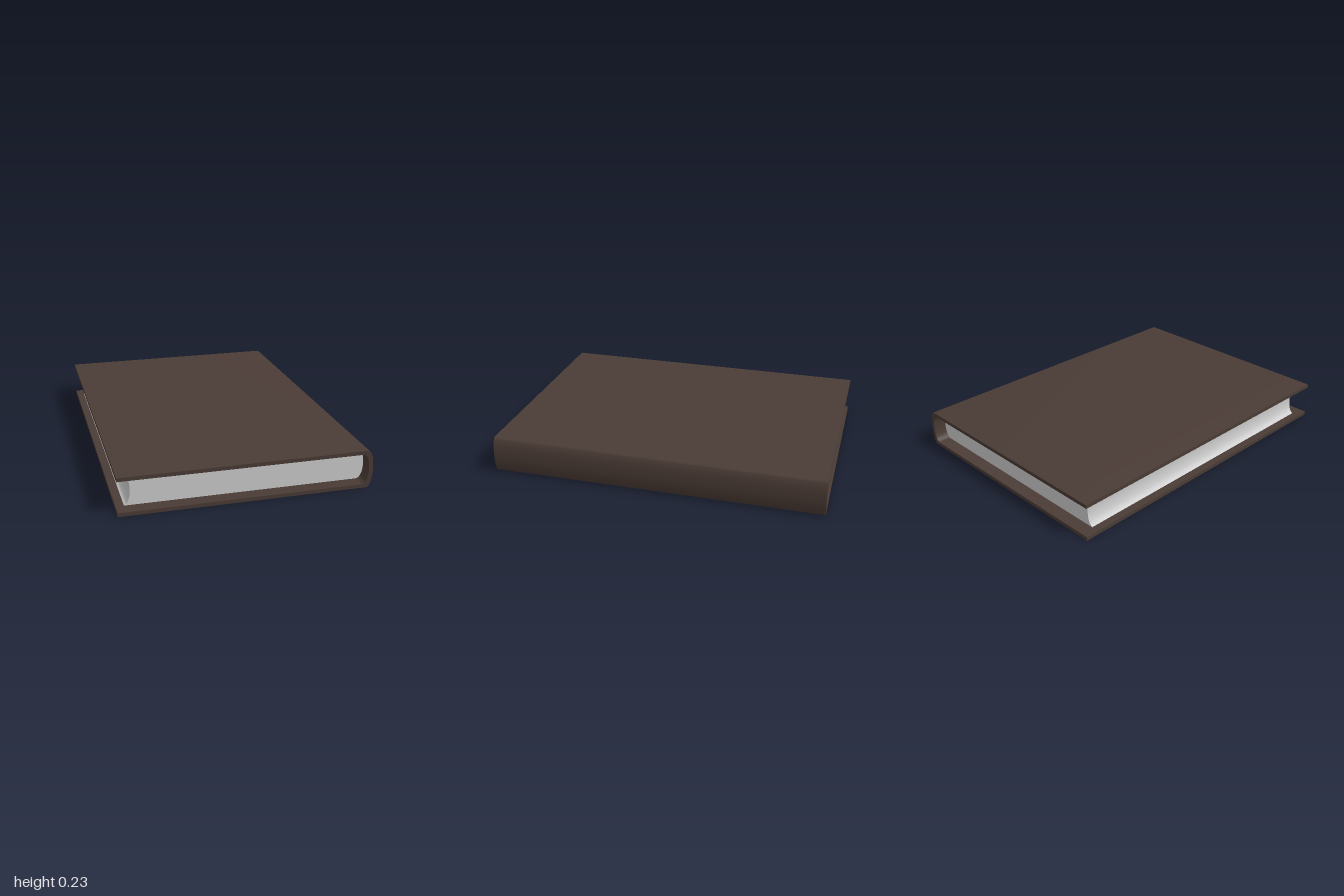
import * as THREE from 'three';
import { toCreasedNormals } from 'three/addons/utils/BufferGeometryUtils.js';

const HEIGHT = 0.226, MID = HEIGHT / 2, BOARD = 0.022;
const EDGE = -0.727, LENGTH = 2, PAGE_INSET = 0.08;

// Extrude an x-y outline along z, centred, with smooth curves and sharp corners
function extrudeAlongZ(shape, depth) {
  const geometry = new THREE.ExtrudeGeometry(shape, { depth, bevelEnabled: false, curveSegments: 12 });
  geometry.translate(0, 0, -depth / 2);
  return toCreasedNormals(geometry, 0.5);
}

// Add a curve symmetric about mid height: ends at x = end, bulges to x = middle
function addBulge(shape, from, end, c1, c2, middle) {
  const s = Math.sign(MID - from);
  const h = Math.abs(MID - from);
  const y = (t) => MID - s * h * t;
  shape.bezierCurveTo(c1[0], y(c1[1]), c2[0], y(c2[1]), middle, MID);
  shape.bezierCurveTo(c2[0], y(-c2[1]), c1[0], y(-c1[1]), end, y(-1));
}

// Rounded inner spine line, shared by the cover and the pages
function addInnerSpine(shape, from) {
  addBulge(shape, from, 0.66, [0.69, 1], [0.703, 0.55], 0.703);
}

export function createModel() {
  const book = new THREE.Group();
  book.name = 'book';
  const low = BOARD, high = HEIGHT - BOARD;

  // Cover: two boards joined by a rounded spine
  const coverShape = new THREE.Shape();
  coverShape.moveTo(EDGE, 0);
  coverShape.lineTo(0.69, 0);
  addBulge(coverShape, 0, 0.69, [0.715, 1], [0.727, 0.5], 0.727);
  coverShape.lineTo(EDGE, HEIGHT);
  coverShape.lineTo(EDGE, high);
  coverShape.lineTo(0.66, high);
  addInnerSpine(coverShape, high);
  coverShape.lineTo(EDGE, low);
  coverShape.closePath();
  const cover = new THREE.Mesh(
    extrudeAlongZ(coverShape, LENGTH),
    new THREE.MeshStandardMaterial({ color: 0x4a3b35 })
  );
  cover.name = 'cover';

  // Page block: rounded at the spine, hollowed at the fore edge
  const pageShape = new THREE.Shape();
  pageShape.moveTo(-0.68, low);
  pageShape.lineTo(0.66, low);
  addInnerSpine(pageShape, low);
  pageShape.lineTo(-0.68, high);
  addBulge(pageShape, high, -0.68, [-0.658, 0.9], [-0.646, 0.5], -0.646);
  const pages = new THREE.Mesh(
    extrudeAlongZ(pageShape, LENGTH - 2 * PAGE_INSET),
    new THREE.MeshStandardMaterial({ color: 0xcccccc })
  );
  pages.name = 'pages';

  book.add(cover, pages);
  return book;
}
